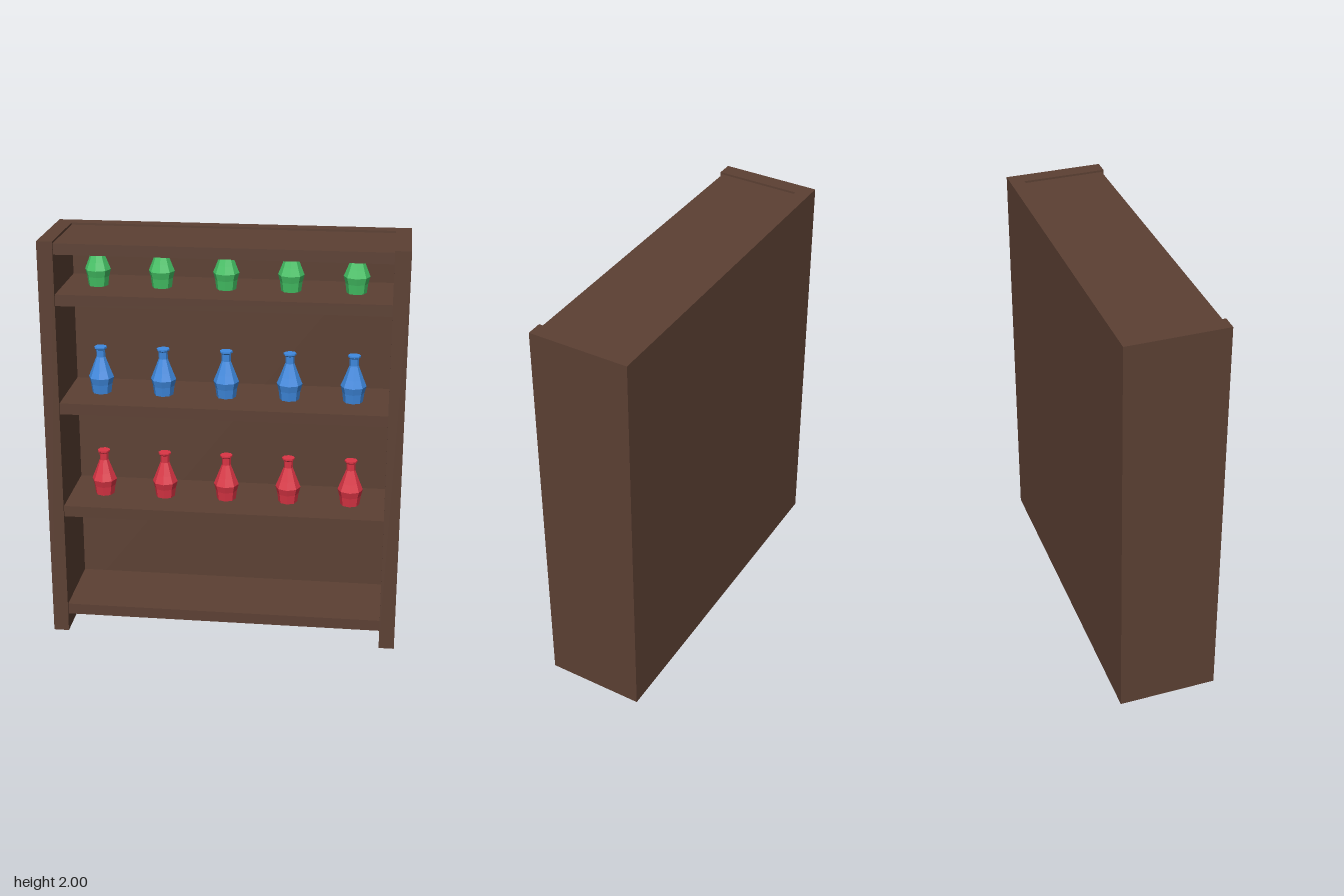
import * as THREE from 'three';

export function createModel() {
  const model = new THREE.Group();
  model.name = 'bottleShelf';

  const material = (name, color) => {
    const m = new THREE.MeshStandardMaterial({ color });
    m.name = name;
    return m;
  };
  const wood = material('dark wood', 0x5c4033);
  const glass = [
    material('red glass', 0xdc3545),
    material('blue glass', 0x3f8ae0),
    material('green glass', 0x45c466),
  ];
  glass.forEach((m) => { m.flatShading = true; });

  // Box given by its lower and upper bounds on each axis
  const board = (name, [x0, x1], [y0, y1], [z0, z1]) => {
    const mesh = new THREE.Mesh(new THREE.BoxGeometry(x1 - x0, y1 - y0, z1 - z0), wood);
    mesh.position.set((x0 + x1) / 2, (y0 + y1) / 2, (z0 + z1) / 2);
    mesh.name = name;
    model.add(mesh);
  };

  // Case: two sides and a back between them
  board('leftSide', [0.78, 0.855], [0, 2], [-0.24, 0.24]);
  board('rightSide', [-0.855, -0.78], [0, 2], [-0.24, 0.24]);
  board('back', [-0.78, 0.78], [0, 2], [-0.24, -0.17]);

  // Shelves and top, set slightly behind the front edges of the sides
  const shelfTops = [0.145, 0.68, 1.213, 1.748];
  shelfTops.forEach((y, i) => board(`shelf${i + 1}`, [-0.78, 0.78], [y - 0.055, y], [-0.17, 0.23]));
  board('top', [-0.78, 0.78], [1.937, 1.99], [-0.17, 0.23]);

  // Eight-sided bottle: foot, belly, shoulder, neck and lip
  const profile = [
    [0, 0], [0.047, 0], [0.053, 0.045], [0.062, 0.078], [0.047, 0.115],
    [0.022, 0.18], [0.022, 0.215], [0.031, 0.222], [0.031, 0.23], [0, 0.23],
  ].map(([r, y]) => new THREE.Vector2(r, y));
  const bottleGeometry = new THREE.LatheGeometry(profile, 8);

  // One row of five bottles per colour on the upper three shelves
  glass.forEach((mat, row) => {
    const group = new THREE.Group();
    group.name = `${mat.name.split(' ')[0]}Bottles`;
    for (let i = -2; i <= 2; i++) {
      const bottle = new THREE.Mesh(bottleGeometry, mat);
      bottle.name = 'bottle';
      bottle.position.set(i * 0.305, shelfTops[row + 1] + 0.006, 0.05);
      group.add(bottle);
    }
    model.add(group);
  });

  return model;
}
